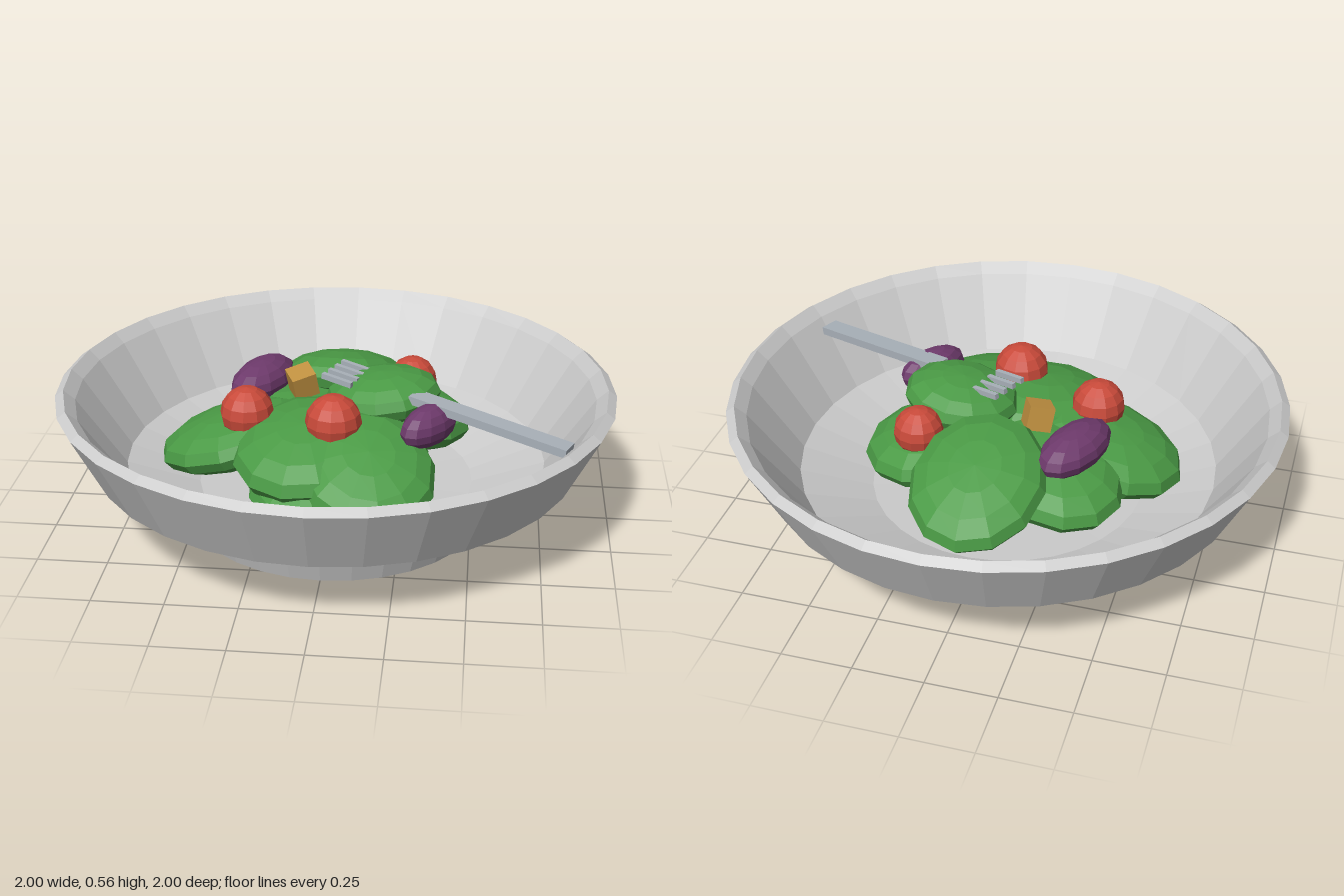
import * as THREE from 'three';

const mat = (color, extra = {}) => new THREE.MeshStandardMaterial({ color, flatShading: true, ...extra });

export function createModel() {
  const model = new THREE.Group();
  const bowlMat = mat(0xcccccc);
  const green = mat(0x4a9a45), red = mat(0xc94a3a), purple = mat(0x6e3a6c);
  const bread = mat(0xc09040), steel = mat(0xa8b0b8);

  const add = (parent, name, geometry, material, pos) => {
    const mesh = new THREE.Mesh(geometry, material);
    mesh.name = name;
    mesh.position.set(...pos);
    parent.add(mesh);
    return mesh;
  };

  // Bowl: foot, two-step outer wall, bevelled rim, inner wall and shallow floor
  const profile = [
    [0, 0], [0.545, 0], [0.57, 0.075], [0.88, 0.25], [1, 0.49], [0.97, 0.512],
    [0.93, 0.475], [0.76, 0.22], [0.5, 0.13], [0, 0.11],
  ].map(([r, y]) => new THREE.Vector2(r, y));
  add(model, 'bowl', new THREE.LatheGeometry(profile, 32), bowlMat, [0, 0, 0]);

  const salad = new THREE.Group();
  salad.name = 'salad';
  model.add(salad);

  // Squashed ellipsoid; yaw points its long axis, tilt lowers that end
  const blob = (name, material, pos, radii, yaw = 0, tilt = 0) => {
    const mesh = add(salad, name, new THREE.SphereGeometry(1, 12, 8), material, pos);
    mesh.scale.set(...radii);
    mesh.rotation.set(tilt, yaw, 0, 'YXZ');
  };

  // Leaves: position, radii (width, thickness, length), yaw, tilt
  [
    [[0, 0.37, -0.38], [0.24, 0.1, 0.29], Math.PI, 0.35],
    [[-0.36, 0.3, 0.05], [0.24, 0.1, 0.29], -1.65, 0.3],
    [[-0.08, 0.34, 0.22], [0.26, 0.11, 0.29], -0.2, 0.2],
    [[0.14, 0.32, 0.33], [0.24, 0.1, 0.28], 0.25, 0.4],
    [[0.17, 0.46, -0.01], [0.19, 0.09, 0.21], 1.5, -0.12],
    [[0.23, 0.33, -0.13], [0.25, 0.1, 0.26], 1.9, 0.15],
    [[-0.21, 0.31, -0.17], [0.24, 0.1, 0.29], -2.3, 0.2],
    [[-0.04, 0.24, 0.28], [0.24, 0.1, 0.27], -0.15, 0.15],
    [[0, 0.24, 0], [0.34, 0.14, 0.34], 0, 0],
  ].forEach((leaf) => blob('leaf', green, ...leaf));

  // Cherry tomatoes
  [
    [[0.015, 0.455, 0.235], 0.1],
    [[-0.305, 0.425, 0.12], 0.097],
    [[0.265, 0.43, -0.22], 0.09],
  ].forEach(([pos, r]) => blob('tomato', red, pos, [r, r, r]));

  // Onion pieces
  blob('onion', purple, [-0.29, 0.43, -0.175], [0.095, 0.075, 0.18], 2.78);
  blob('onion', purple, [0.345, 0.435, 0.185], [0.07, 0.075, 0.14], 2.55);

  // Crouton
  const crouton = add(salad, 'crouton', new THREE.BoxGeometry(0.09, 0.09, 0.09), bread, [-0.13, 0.47, -0.07]);
  crouton.rotation.set(0.2, 0.45, 0.15);

  // Fork: local +x runs from the tines to the handle end
  const fork = new THREE.Group();
  fork.name = 'fork';
  fork.position.set(0.02, 0.535, -0.02);
  fork.rotation.set(0, -0.43, -0.11, 'YZX');
  model.add(fork);
  add(fork, 'forkHandle', new THREE.BoxGeometry(0.6, 0.03, 0.07), steel, [0.59, 0, 0]);
  add(fork, 'forkNeck', new THREE.BoxGeometry(0.2, 0.025, 0.05), steel, [0.21, -0.02, 0]);
  for (let i = 0; i < 4; i++) {
    add(fork, 'forkTine', new THREE.BoxGeometry(0.12, 0.02, 0.018), steel, [0.02, 0, (i - 1.5) * 0.046]);
  }

  return model;
}
